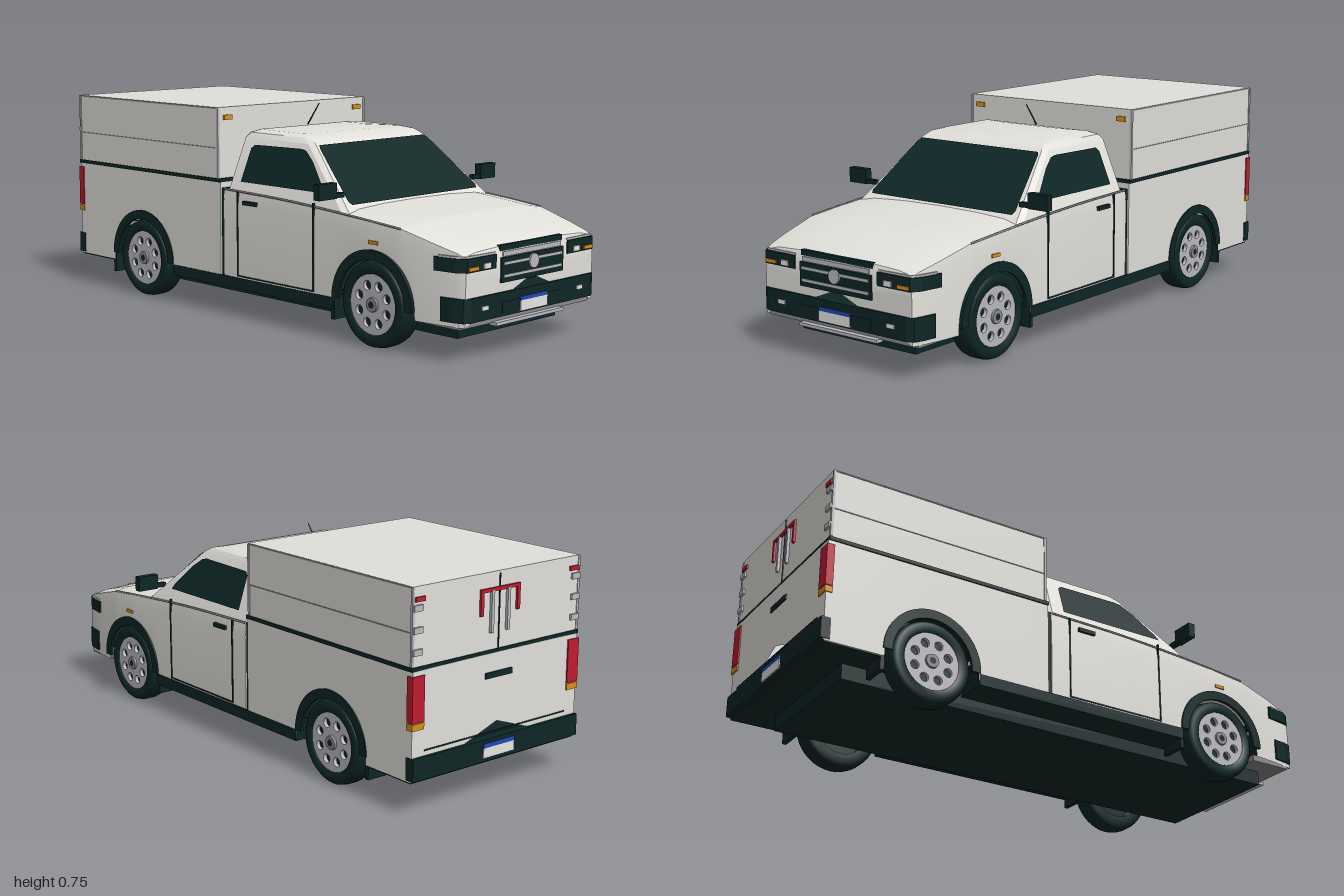
import * as THREE from 'three';
import { toCreasedNormals } from 'three/addons/utils/BufferGeometryUtils.js';

const mat = (name, color, side = THREE.FrontSide) => {
  const m = new THREE.MeshStandardMaterial({ color, side });
  m.name = name;
  return m;
};
const WHEELS = [-0.59, 0.62], WY = 0.147, ARCH = 0.177;

export function createModel() {
  const truck = new THREE.Group();
  truck.name = 'pickupTruck';
  const white = mat('bodyWhite', 0xe2e0db, THREE.DoubleSide);
  const dark = mat('darkTrim', 0x0e2626, THREE.DoubleSide);
  const silver = mat('silver', 0xbcbac2);
  const grey = mat('seamGrey', 0x8b8a8c);
  const amber = mat('amber', 0xd8901c);
  const red = mat('red', 0xc01c30);
  const blue = mat('blue', 0x2148b4);
  const lamp = mat('lampWhite', 0xe6e6e2);

  const add = (name, geo, m, parent = truck) => {
    const mesh = new THREE.Mesh(geo, m);
    mesh.name = name;
    parent.add(mesh);
    return mesh;
  };
  const box = (name, m, x0, x1, y0, y1, z0, z1) => {
    const mesh = add(name, new THREE.BoxGeometry(x1 - x0, y1 - y0, Math.abs(z1 - z0)), m);
    mesh.position.set((x0 + x1) / 2, (y0 + y1) / 2, (z0 + z1) / 2);
    return mesh;
  };
  const pair = (name, m, x0, x1, y0, y1, z0, z1) => {
    for (const s of [1, -1]) box(name, m, x0, x1, y0, y1, s * z0, s * z1);
  };
  // Plan outline (x, z) raised between two heights
  const planSlab = (name, m, y0, y1, pts) => {
    const shape = new THREE.Shape(pts.map(p => new THREE.Vector2(...p)));
    const geo = new THREE.ExtrudeGeometry(shape, { depth: y1 - y0, bevelEnabled: false });
    add(name, geo.rotateX(Math.PI / 2).translate(0, y1, 0), m);
  };
  const surface = (rings, caps, closed) => {
    const n = rings[0].length, pos = rings.flat(2), idx = [];
    for (let i = 0; i < rings.length - 1; i++)
      for (let j = 0; j < (closed ? n : n - 1); j++) {
        const a = i * n + j, d = i * n + (j + 1) % n, b = a + n, c = d + n;
        idx.push(a, b, c, a, c, d);
      }
    caps.forEach(([ring, centre, flip]) => {
      const c = pos.length / 3;
      pos.push(...centre);
      for (let j = 0; j < (closed ? n : n - 1); j++) {
        const a = ring * n + j, b = ring * n + (j + 1) % n;
        idx.push(c, flip ? b : a, flip ? a : b);
      }
    });
    const g = new THREE.BufferGeometry();
    g.setAttribute('position', new THREE.Float32BufferAttribute(pos, 3));
    g.setIndex(idx);
    return toCreasedNormals(g, 0.5);
  };

  // Body shells: cross-sections along x, bottom edge following the wheel arch
  const sample = (keys, x, k) => {
    let i = 0;
    while (i < keys.length - 2 && x > keys[i + 1][0]) i++;
    const a = keys[i], b = keys[i + 1];
    return THREE.MathUtils.lerp(a[k], b[k], (x - a[0]) / (b[0] - a[0]));
  };
  const shell = (name, keys, cx, crown) => {
    const xs = keys.map(k => k[0]);
    for (let i = 0; i <= 20; i++) xs.push(cx + ARCH * Math.cos(i * Math.PI / 20));
    xs.push(cx - ARCH - 0.001, cx + ARCH + 0.001);
    xs.sort((a, b) => a - b);
    const rings = xs.map(x => {
      const w = sample(keys, x, 1), t = sample(keys, x, 2);
      const d = Math.abs(x - cx);
      const yb = d <= ARCH + 1e-6 ? WY + Math.sqrt(Math.max(0, ARCH * ARCH - d * d)) : 0.12;
      const half = [[w, yb], [w, Math.max(yb, t - 0.06)], [w - crown * 0.3, t - crown],
        [w * 0.8, t - crown * 0.4], [w * 0.45, t - crown * 0.1]];
      return [...half.map(([z, y]) => [x, y, z]), [x, t, 0],
        ...half.reverse().map(([z, y]) => [x, y, -z])];
    });
    const last = rings.length - 1;
    add(name, surface(rings, [[0, [xs[0], 0.25, 0], false], [last, [xs[last], 0.25, 0], true]], false), white);
  };
  shell('cargoBed', [[-0.985, 0.372, 0.482], [-0.135, 0.372, 0.482]], WHEELS[0], 0.002);
  shell('frontBody', [[-0.12, 0.37, 0.472], [0.2, 0.371, 0.466], [0.48, 0.37, 0.45], [0.6, 0.37, 0.441],
    [0.74, 0.365, 0.428], [0.88, 0.35, 0.392], [0.955, 0.337, 0.372], [0.975, 0.332, 0.362],
    [0.985, 0.328, 0.342]], WHEELS[1], 0.018);

  // Cab upper part: horizontal rings
  const level = ([y, xb, xf, z]) => {
    const c = 0.012;
    return [[xb, z - c], [xb + c, z], [xf - c * 2, z], [xf, z - c],
      [xf, c - z], [xf - c * 2, -z], [xb + c, -z], [xb, c - z]].map(p => [p[0], y, p[1]]);
  };
  const frontX = y => 0.49 - (y - 0.44) * 1.175, sideZ = y => 0.362 - (y - 0.44) * 0.385;
  const cab = [[0.43, -0.118, frontX(0.43), sideZ(0.43)], [0.64, -0.105, frontX(0.64), sideZ(0.64)],
    [0.658, -0.092, 0.222, 0.272], [0.667, -0.075, 0.18, 0.24], [0.672, -0.03, 0.1, 0.15]].map(level);
  const upper = add('cabRoof', surface(cab, [[4, [0.03, 0.673, 0], false]], true), white);
  upper.material = white;

  // Glass panes lying on the cab faces
  const pane = (name, pts, place) => {
    const g = new THREE.ShapeGeometry(new THREE.Shape(pts.map(p => new THREE.Vector2(...p))));
    const p = g.attributes.position;
    for (let i = 0; i < p.count; i++) p.setXYZ(i, ...place(p.getX(i), p.getY(i)));
    g.computeVertexNormals();
    add(name, g, dark);
  };
  pane('windshield', [[-0.318, 0.455], [0.318, 0.455], [0.325, 0.465], [0.275, 0.625], [0.265, 0.635],
    [-0.265, 0.635], [-0.275, 0.625], [-0.325, 0.465]], (z, y) => [frontX(y) + 0.005, y + 0.002, z]);
  pane('rearWindow', [[-0.25, 0.5], [0.25, 0.5], [0.23, 0.62], [-0.23, 0.62]], (z, y) => [-0.12, y, z]);
  for (const s of [1, -1])
    pane('sideWindow', [[-0.052, 0.488], [0.368, 0.488], [0.355, 0.51], [0.28, 0.585], [0.235, 0.617],
      [0.21, 0.622], [-0.03, 0.618], [-0.045, 0.605]], (x, y) => [x, y, s * (sideZ(y) + 0.004)]);

  // Cargo box with trim
  box('cargoBox', white, -0.98, -0.145, 0.49, 0.748, -0.372, 0.372);
  box('boxSealStrip', dark, -0.984, -0.135, 0.48, 0.493, -0.376, 0.376);
  box('bedGap', dark, -0.137, -0.118, 0.14, 0.46, -0.365, 0.365);
  pair('boxSeam', grey, -0.98, -0.148, 0.6, 0.604, 0.37, 0.374);
  pair('boxTopEdge', grey, -0.98, -0.146, 0.742, 0.747, 0.37, 0.374);
  for (const x of [-0.982, -0.152]) pair('boxCornerTrim', silver, x, x + 0.009, 0.495, 0.745, 0.366, 0.375);
  pair('boxMarkerLamp', amber, -0.146, -0.139, 0.702, 0.72, 0.308, 0.347);

  // Rear doors and tailgate
  box('rearDoorSeam', dark, -0.983, -0.98, 0.495, 0.74, -0.002, 0.002);
  pair('lockBar', silver, -0.99, -0.98, 0.55, 0.69, 0.03, 0.042);
  pair('lockSideBar', red, -0.988, -0.98, 0.61, 0.695, 0.075, 0.088);
  box('lockTopBar', red, -0.988, -0.98, 0.685, 0.697, -0.088, 0.088);
  for (const y of [0.53, 0.6, 0.67]) pair('hinge', silver, -0.988, -0.978, y, y + 0.02, 0.335, 0.372);
  pair('rearMarkerLamp', red, -0.987, -0.98, 0.7, 0.715, 0.325, 0.365);
  pair('tailLight', red, -0.99, -0.963, 0.315, 0.465, 0.325, 0.376);
  pair('rearIndicator', amber, -0.99, -0.963, 0.29, 0.312, 0.325, 0.376);
  box('tailgateHandle', dark, -0.99, -0.984, 0.4, 0.42, -0.06, 0.06);
  box('tailgateSeam', dark, -0.987, -0.984, 0.215, 0.22, -0.32, 0.32);
  box('rearBumper', dark, -0.996, -0.962, 0.125, 0.2, -0.375, 0.375);
  box('rearPlate', lamp, -1, -0.995, 0.138, 0.172, -0.07, 0.07);
  box('rearPlateBand', blue, -1, -0.995, 0.172, 0.187, -0.07, 0.07);

  // Underside
  box('chassis', dark, -0.86, 0.89, 0.06, 0.13, -0.255, 0.255);
  box('floor', dark, -0.98, 0.9, 0.12, 0.15, -0.27, 0.27);
  box('rearFloor', dark, -0.98, -0.77, 0.115, 0.135, -0.37, 0.37);
  box('sill', dark, -0.41, 0.442, 0.105, 0.145, -0.374, 0.374);
  box('frontApron', grey, 0.8, 0.965, 0.112, 0.135, -0.335, 0.335);
  box('skidStrip', silver, 0.955, 0.985, 0.104, 0.115, -0.175, 0.175);
  for (const x of WHEELS) pair('mudFlap', dark, x - 0.19, x - 0.175, 0.07, 0.15, 0.272, 0.37);

  // Doors and side details
  for (const x of [-0.046, 0.342]) pair('doorSeam', dark, x, x + 0.005, 0.15, 0.455, 0.365, 0.3735);
  pair('doorBottomSeam', dark, -0.046, 0.347, 0.15, 0.155, 0.365, 0.3735);
  pair('doorHandle', dark, -0.008, 0.06, 0.412, 0.426, 0.366, 0.38);
  pair('sideIndicator', amber, 0.605, 0.645, 0.348, 0.36, 0.36, 0.374);
  for (const s of [1, -1]) {
    const path = new THREE.CatmullRomCurve3([[-0.118, 0.458, 0.365], [0.2, 0.45, 0.367], [0.48, 0.433, 0.365],
      [0.74, 0.411, 0.36]].map(([x, y, z]) => new THREE.Vector3(x, y, s * z)));
    add('beltLine', new THREE.TubeGeometry(path, 16, 0.004, 5), grey);
  }
  pair('mirrorArm', dark, 0.432, 0.452, 0.482, 0.498, 0.33, 0.38);
  pair('mirror', dark, 0.428, 0.455, 0.48, 0.534, 0.368, 0.45);
  const antenna = add('antenna', new THREE.CylinderGeometry(0.002, 0.003, 0.1, 6), dark);
  antenna.position.set(-0.04, 0.71, 0);
  antenna.rotation.z = -0.64;

  // Nose
  planSlab('frontBumper', dark, 0.135, 0.213, [[0.9, 0.352], [0.95, 0.346], [0.982, 0.335], [0.994, 0.31],
    [0.994, -0.31], [0.982, -0.335], [0.95, -0.346], [0.9, -0.352]]);
  for (const s of [1, -1]) {
    const side = pts => pts.map(([x, z]) => [x, z * s]);
    planSlab('headlight', dark, 0.295, 0.34, side([[0.95, 0.185], [0.99, 0.185], [0.988, 0.325],
      [0.955, 0.345], [0.875, 0.357], [0.875, 0.33]]));
    planSlab('headlightTrim', silver, 0.34, 0.347, side([[0.95, 0.185], [0.984, 0.185], [0.982, 0.322],
      [0.95, 0.342], [0.89, 0.352], [0.89, 0.32]]));
  }
  pair('headlightBulb', lamp, 0.985, 0.994, 0.3, 0.318, 0.215, 0.248);
  pair('frontIndicator', amber, 0.985, 0.993, 0.3, 0.312, 0.273, 0.32);
  pair('fogLamp', lamp, 0.99, 0.998, 0.168, 0.182, 0.23, 0.262);
  box('grille', dark, 0.97, 0.991, 0.243, 0.325, -0.16, 0.16);
  box('upperGrilleStrip', dark, 0.955, 0.983, 0.345, 0.364, -0.16, 0.16);
  box('grilleTrim', silver, 0.97, 0.988, 0.327, 0.343, -0.15, 0.15);
  for (const y of [0.259, 0.3]) box('grilleBar', silver, 0.985, 0.994, y, y + 0.01, -0.15, 0.15);
  const disc = add('grilleDisc', new THREE.CylinderGeometry(0.024, 0.024, 0.008, 24), silver);
  disc.rotation.z = Math.PI / 2;
  disc.position.set(0.993, 0.297, 0);
  box('bumperIntake', dark, 0.99, 0.996, 0.146, 0.182, -0.16, 0.16);
  box('frontPlate', lamp, 0.994, 0.999, 0.14, 0.175, -0.07, 0.07);
  box('frontPlateBand', blue, 0.994, 0.999, 0.175, 0.188, -0.07, 0.07);

  // Wheels, arches and liners
  const tyreProfile = [[0.1, -0.042], [0.132, -0.044], [0.143, -0.034], [0.147, -0.018], [0.147, 0.018],
    [0.143, 0.034], [0.132, 0.044], [0.104, 0.042], [0.1, 0.03]].map(p => new THREE.Vector2(...p));
  const tyreGeo = new THREE.LatheGeometry(tyreProfile, 40).rotateX(Math.PI / 2);
  const rimShape = new THREE.Shape().absarc(0, 0, 0.102, 0, Math.PI * 2);
  for (let i = 0; i < 8; i++) {
    const a = i * Math.PI / 4 + Math.PI / 8;
    rimShape.holes.push(new THREE.Path().absarc(0.067 * Math.cos(a), 0.067 * Math.sin(a), 0.016, 0, Math.PI * 2, true));
  }
  const rimGeo = new THREE.ExtrudeGeometry(rimShape, { depth: 0.014, bevelEnabled: false, curveSegments: 16 });
  const archShape = new THREE.Shape().absarc(0, 0, 0.183, 0, Math.PI, false);
  archShape.absarc(0, 0, 0.15, Math.PI, 0, true);
  const archGeo = new THREE.ExtrudeGeometry(archShape, { depth: 0.012, bevelEnabled: false, curveSegments: 24 });
  for (const x of WHEELS) {
    const liner = add('wheelLiner', new THREE.CylinderGeometry(0.176, 0.176, 0.54, 24, 1, false, -Math.PI / 2, Math.PI)
      .rotateX(-Math.PI / 2), dark);
    liner.position.set(x, WY, 0);
    for (const s of [1, -1]) {
      const wheel = new THREE.Group();
      wheel.name = 'wheel';
      wheel.position.set(x, WY, s * 0.328);
      if (s < 0) wheel.rotation.y = Math.PI;
      truck.add(wheel);
      add('tyre', tyreGeo, dark, wheel);
      add('rim', rimGeo, silver, wheel).position.z = 0.024;
      add('rimBack', new THREE.CircleGeometry(0.102, 24), dark, wheel).position.z = 0.018;
      const hub = add('hub', new THREE.CylinderGeometry(0.024, 0.026, 0.012, 16).rotateX(Math.PI / 2), grey, wheel);
      hub.position.z = 0.04;
      add('hubCap', new THREE.CircleGeometry(0.012, 12), dark, wheel).position.z = 0.047;
      add('wheelArch', archGeo, dark, wheel).position.z = 0.036;
    }
  }
  return truck;
}
